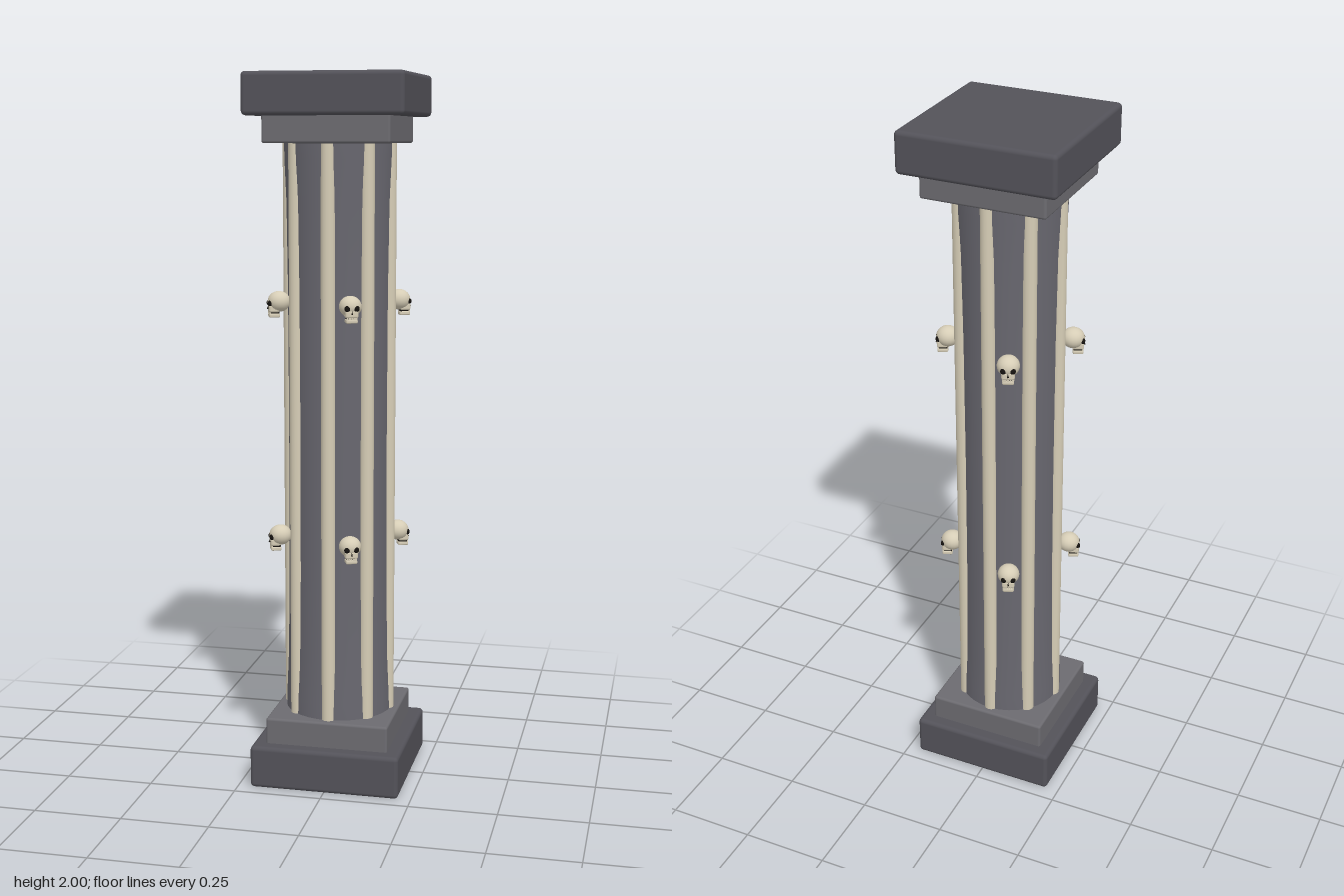
import * as THREE from 'three';
import { RoundedBoxGeometry } from 'three/addons/geometries/RoundedBoxGeometry.js';

const mat = (color) => new THREE.MeshStandardMaterial({ color });

export function createModel() {
  const model = new THREE.Group();
  model.name = 'skullColumn';
  const darkStone = mat(0x535259), trimStone = mat(0x6c6b70), shaftStone = mat(0x68676f);
  const bone = mat(0xd6cdb6), hollow = mat(0x15120f);

  const add = (parent, name, geometry, material, x = 0, y = 0, z = 0) => {
    const mesh = new THREE.Mesh(geometry, material);
    mesh.name = name;
    mesh.position.set(x, y, z);
    parent.add(mesh);
    return mesh;
  };

  // Square slabs of the base and capital
  const slab = (name, width, y0, y1, radius, material) =>
    add(model, name, new RoundedBoxGeometry(width, y1 - y0, width, 3, radius), material, 0, (y0 + y1) / 2, 0);
  slab('basePlinth', 0.428, 0, 0.122, 0.012, darkStone);
  slab('baseTrim', 0.352, 0.115, 0.196, 0.007, trimStone);
  slab('capitalTrim', 0.352, 1.812, 1.892, 0.007, trimStone);
  slab('capitalSlab', 0.442, 1.885, 2, 0.012, darkStone);

  // Shaft, flaring slightly at both ends
  const profile = [[0.153, 0.18], [0.152, 0.24], [0.147, 0.36], [0.144, 0.6], [0.143, 1.0],
    [0.144, 1.4], [0.147, 1.65], [0.152, 1.77], [0.153, 1.83]].map(([r, y]) => new THREE.Vector2(r, y));
  add(model, 'shaft', new THREE.LatheGeometry(profile, 32), shaftStone);

  // Eight long bone ribs around the shaft
  const ribGeometry = new THREE.CylinderGeometry(0.02, 0.02, 1.65, 14);
  for (let i = 0; i < 8; i++) {
    const a = (i * Math.PI) / 4;
    add(model, 'boneRib', ribGeometry, bone, 0.141 * Math.sin(a), 1.004, 0.141 * Math.cos(a));
  }

  // Small skull facing +z
  const ball = new THREE.SphereGeometry(1, 20, 14);
  const cheek = new RoundedBoxGeometry(0.036, 0.022, 0.03, 2, 0.006);
  const jaw = new RoundedBoxGeometry(0.032, 0.012, 0.03, 2, 0.004);
  const tooth = new THREE.BoxGeometry(0.005, 0.008, 0.004);
  const nose = new THREE.ConeGeometry(0.005, 0.01, 3);
  const makeSkull = () => {
    const skull = new THREE.Group();
    skull.name = 'skull';
    add(skull, 'cranium', ball, bone, 0, 0, 0).scale.set(0.031, 0.029, 0.032);
    add(skull, 'upperJaw', cheek, bone, 0, -0.019, 0.015);
    add(skull, 'lowerJaw', jaw, bone, 0, -0.038, 0.014);
    add(skull, 'mouthGap', new THREE.BoxGeometry(0.028, 0.008, 0.024), hollow, 0, -0.031, 0.013);
    for (const s of [-1, 1]) {
      add(skull, 'eyeSocket', ball, hollow, s * 0.0125, -0.004, 0.026).scale.set(0.0085, 0.0085, 0.007);
    }
    add(skull, 'noseHole', nose, hollow, 0, -0.015, 0.0295);
    for (let i = -2; i <= 2; i++) add(skull, 'tooth', tooth, bone, i * 0.006, -0.03, 0.0265);
    return skull;
  };

  // Two rings of four skulls set between the ribs
  for (const y of [0.71, 1.378]) {
    for (let i = 0; i < 4; i++) {
      const a = Math.PI / 8 + (i * Math.PI) / 2;
      const skull = makeSkull();
      skull.position.set(0.171 * Math.sin(a), y, 0.171 * Math.cos(a));
      skull.rotation.y = a;
      model.add(skull);
    }
  }
  return model;
}
